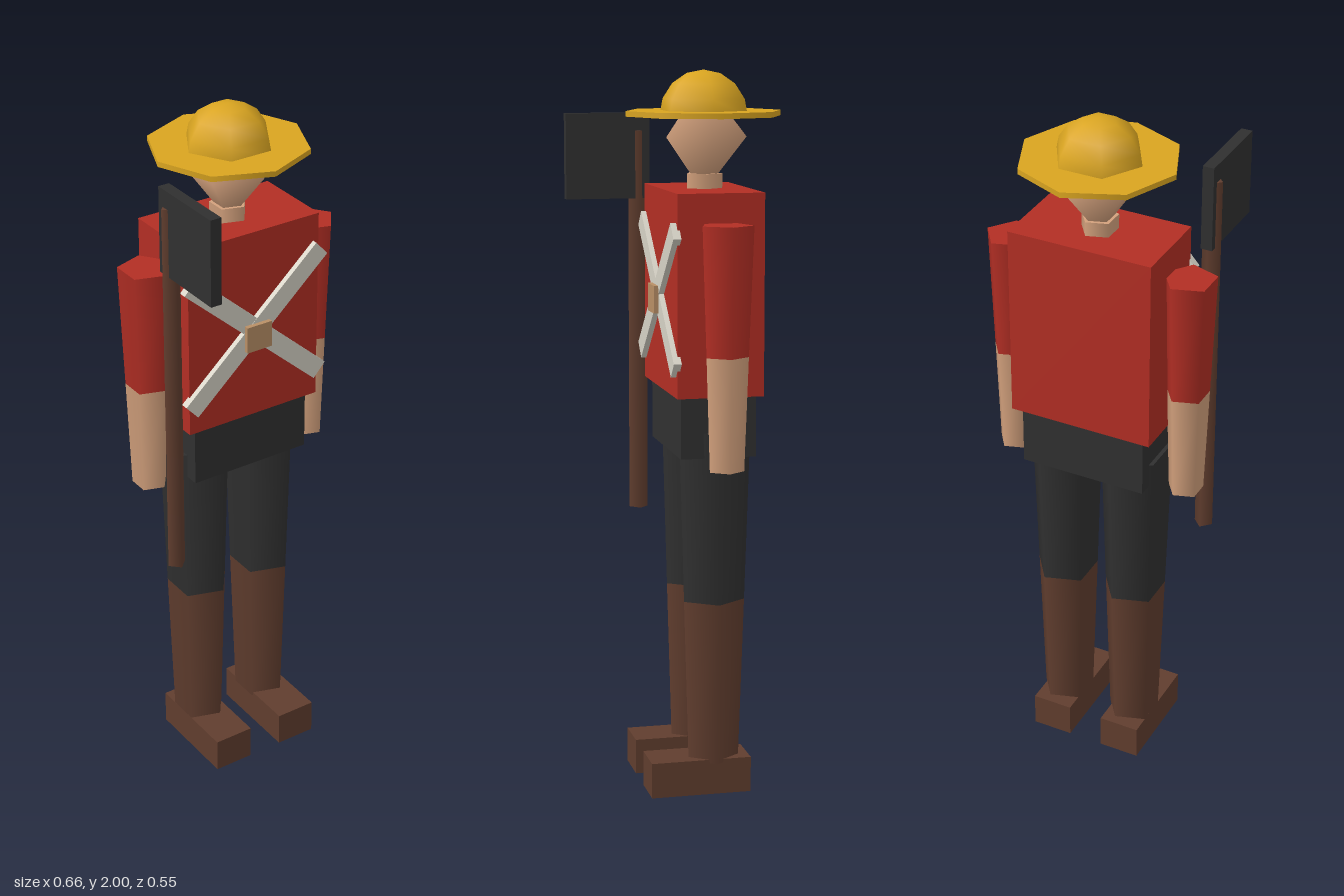
import * as THREE from 'three';

const CX = -0.008, CZ = -0.06; // body axis

export function createModel() {
  const model = new THREE.Group();
  model.name = 'uniformedFigure';

  const mat = (name, color) => {
    const m = new THREE.MeshStandardMaterial({ color });
    m.name = name;
    return m;
  };
  const red = mat('tunicRed', 0xb22e24);
  const black = mat('trouserBlack', 0x303030);
  const brown = mat('bootBrown', 0x603d2e);
  const skin = mat('skin', 0xd2a07c);
  const gold = mat('hatGold', 0xdaa520);
  const white = mat('strapWhite', 0xd6d2c6);
  const tan = mat('buckleTan', 0xb98f66);

  const add = (name, geometry, material, x, y, z, parent = model) => {
    const mesh = new THREE.Mesh(geometry, material);
    mesh.name = name;
    mesh.position.set(x, y, z);
    parent.add(mesh);
    return mesh;
  };
  // box from its limits on each axis
  const box = (name, material, x0, x1, y0, y1, z0, z1) =>
    add(name, new THREE.BoxGeometry(x1 - x0, y1 - y0, z1 - z0), material,
      (x0 + x1) / 2, (y0 + y1) / 2, (z0 + z1) / 2);
  // upright tapered prism with one corner towards +x
  const prism = (name, material, x, z, yTop, yBottom, rTop, rBottom, sides = 5) =>
    add(name, new THREE.CylinderGeometry(rTop, rBottom, yTop - yBottom, sides).rotateY(Math.PI / 2),
      material, x, (yTop + yBottom) / 2, z);

  // torso and hips
  box('torso', red, -0.215, 0.199, 1.13, 1.68, -0.18, 0.06);
  box('hips', black, -0.19, 0.174, 0.96, 1.13, -0.165, 0.045);

  // arms, legs and shoes (limb prisms all point the same way)
  for (const [side, s] of [['left', 1], ['right', -1]]) {
    const armX = CX + s * 0.262, legX = CX + s * 0.108, shoeX = CX + s * 0.11;
    prism(side + 'Sleeve', red, armX, CZ, 1.6, 1.25, 0.074, 0.061);
    prism(side + 'Forearm', skin, armX, CZ, 1.25, 0.94, 0.061, 0.05);
    prism(side + 'TrouserLeg', black, legX, CZ, 1.03, 0.55, 0.105, 0.09);
    prism(side + 'Boot', brown, legX, CZ, 0.55, 0.09, 0.09, 0.075);
    box(side + 'Shoe', brown, shoeX - 0.059, shoeX + 0.059, 0, 0.1, -0.159, 0.124);
  }

  // neck and head
  prism('neck', skin, CX, CZ, 1.72, 1.67, 0.052, 0.052);
  const head = add('head', new THREE.SphereGeometry(0.118, 5, 2).rotateY(Math.PI), skin, CX, 1.82, CZ);
  head.scale.y = 1.3;

  // hat
  prism('hatBrim', gold, CX, CZ, 1.89, 1.875, 0.217, 0.217, 8);
  add('hatCrown', new THREE.SphereGeometry(0.126, 6, 4, 0, Math.PI * 2, 0, Math.PI / 2),
    gold, CX, 1.874, CZ);

  // crossed chest straps and buckle
  for (const s of [1, -1]) {
    const strap = add(s > 0 ? 'risingStrap' : 'fallingStrap',
      new THREE.BoxGeometry(0.56, 0.055, 0.022), white, CX, 1.395, 0.064 + s * 0.0005);
    strap.rotation.z = s * 0.733;
  }
  box('buckle', tan, -0.047, 0.031, 1.342, 1.418, 0.06, 0.088);

  // long-handled tool with a flat blade
  prism('toolShaft', brown, -0.27, 0.069, 1.825, 0.74, 0.027, 0.027, 4);
  box('toolBlade', black, -0.285, -0.253, 1.635, 1.875, 0.038, 0.277);

  return model;
}
